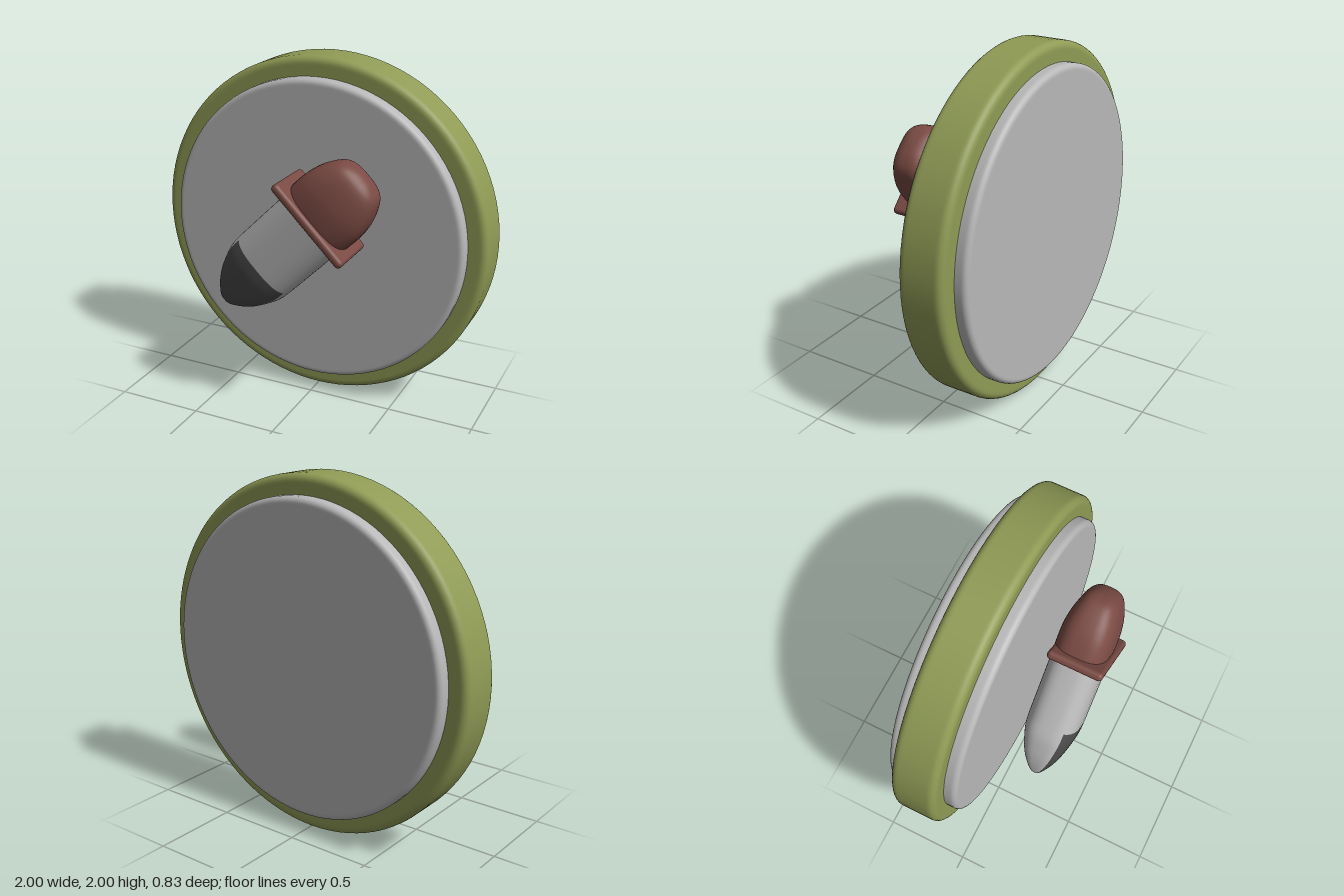
import * as THREE from 'three';
import { mergeVertices } from 'three/addons/utils/BufferGeometryUtils.js';
import { RoundedBoxGeometry } from 'three/addons/geometries/RoundedBoxGeometry.js';

const V = (x, y) => new THREE.Vector2(x, y);
const mat = (name, color) => {
  const m = new THREE.MeshStandardMaterial({ color });
  m.name = name;
  return m;
};

// Round plate with softened rims, its axis along z
function roundPlate(radius, zBack, zFront, bevel) {
  const pts = [V(0, zBack), V(radius - bevel - 0.01, zBack)];
  for (const [z, start] of [[zBack + bevel, -Math.PI / 2], [zFront - bevel, 0]]) {
    for (let i = 0; i <= 6; i++) {
      const a = start + (i / 6) * Math.PI / 2;
      pts.push(V(radius - bevel + bevel * Math.cos(a), z + bevel * Math.sin(a)));
    }
    // keep the rim wall straight between the two rounded edges
    if (start < 0) pts.push(V(radius, zBack + bevel + 0.01), V(radius, zFront - bevel - 0.01));
  }
  pts.push(V(radius - bevel - 0.01, zFront), V(0, zFront));
  return new THREE.LatheGeometry(pts, 96).rotateX(Math.PI / 2);
}

// Turned profile squashed in z, with a squarish oval cross-section
const SEGMENTS = 48;
function squashedLathe(points, flatness) {
  let geo = new THREE.LatheGeometry(points, SEGMENTS);
  const p = geo.attributes.position;
  const square = (v, r) => (r < 1e-6 ? 0 : Math.sign(v) * r * Math.abs(v / r) ** (2 / 3));
  for (let i = 0; i < p.count; i++) {
    const x = p.getX(i), z = p.getZ(i), r = Math.hypot(x, z);
    p.setX(i, square(x, r));
    p.setZ(i, square(z, r) * flatness);
  }
  geo.deleteAttribute('uv');
  geo.deleteAttribute('normal');
  geo = mergeVertices(geo, 1e-5);
  geo.computeVertexNormals();
  return geo;
}

// Divide the faces of a lathe into two material groups
function splitFaces(geo, rows, inSecond) {
  const index = Array.from(geo.index.array), sets = [[], []];
  for (let f = 0; f < index.length / 3; f++) {
    const segment = Math.floor(f / (2 * rows));
    const row = Math.floor((f % (2 * rows)) / 2);
    sets[inSecond(segment, row) ? 1 : 0].push(...index.slice(f * 3, f * 3 + 3));
  }
  geo.setIndex([...sets[0], ...sets[1]]);
  geo.addGroup(0, sets[0].length, 0);
  geo.addGroup(sets[0].length, sets[1].length, 1);
}

export function createModel() {
  const model = new THREE.Group();
  const grey = mat('lightGrey', 0xb8b8b8);
  const green = mat('oliveGreen', 0x8f9b55);
  const brown = mat('reddishBrown', 0x7a4a43);
  const dark = mat('darkGrey', 0x4a4a4a);
  const add = (parent, name, geo, material) => {
    const mesh = new THREE.Mesh(geo, material);
    mesh.name = name;
    parent.add(mesh);
    return mesh;
  };

  // Coin-like base: grey disc held in a green rim
  add(model, 'disc', roundPlate(0.89, -0.42, -0.02, 0.03), grey).position.y = 1;
  add(model, 'rim', roundPlate(1, -0.35, -0.09, 0.04), green).position.y = 1;

  // Dropper floating in front, leaning to its left
  const dropper = new THREE.Group();
  dropper.name = 'dropper';
  dropper.position.set(0.165, 1.22, 0.23);
  dropper.rotation.z = -Math.PI / 4;
  model.add(dropper);

  // Glass tube with dark liquid painted on the front of its tip
  const taper = new THREE.SplineCurve([
    V(0, -0.855), V(0.035, -0.84), V(0.065, -0.81), V(0.11, -0.75),
    V(0.15, -0.68), V(0.178, -0.61), V(0.205, -0.52), V(0.21, -0.44),
  ]).getPoints(21);
  taper[0].x = 0;
  const tubeProfile = [...taper, V(0.21, -0.4), V(0.21, 0)];
  const tube = squashedLathe(tubeProfile, 0.15 / 0.21);
  splitFaces(tube, tubeProfile.length - 1,
    (segment, row) => row < 21 && (segment < 8 || segment >= SEGMENTS - 8));
  add(dropper, 'tube', tube, [grey, dark]);

  // Collar
  add(dropper, 'collar', new RoundedBoxGeometry(0.55, 0.05, 0.32, 4, 0.022), brown)
    .position.z = 0.02;

  // Rubber bulb
  const bulbProfile = new THREE.SplineCurve([
    V(0.22, 0), V(0.222, 0.06), V(0.215, 0.15), V(0.187, 0.24),
    V(0.138, 0.322), V(0.07, 0.357), V(0, 0.366),
  ]).getPoints(24);
  bulbProfile[24].x = 0;
  add(dropper, 'bulb', squashedLathe(bulbProfile, 0.152 / 0.222), brown);

  return model;
}
